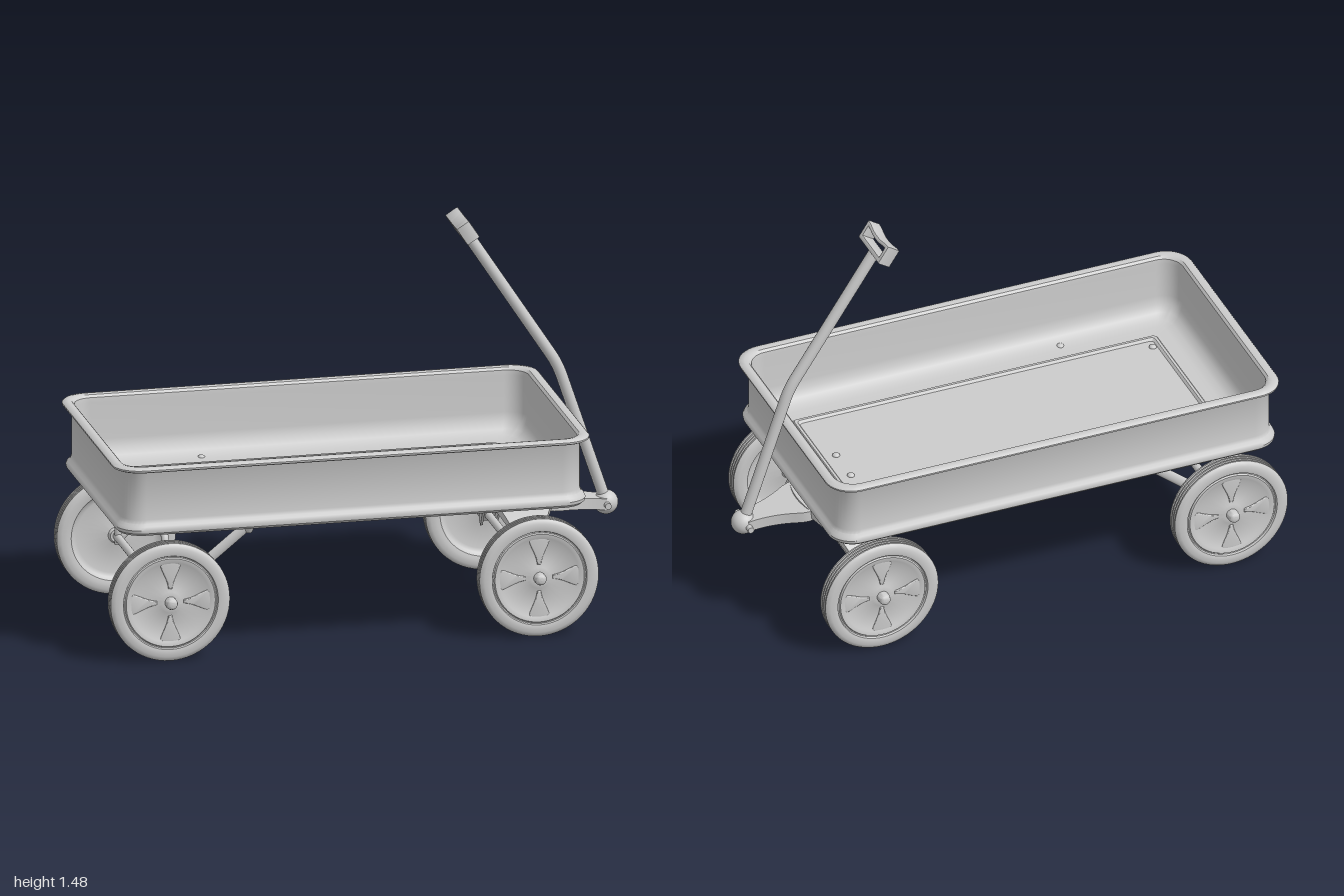
import * as THREE from 'three';
import { toCreasedNormals } from 'three/addons/utils/BufferGeometryUtils.js';

const V = (x, y, z) => new THREE.Vector3(x, y, z);
const grey = new THREE.MeshStandardMaterial({ color: 0xcccccc });

function part(name, geometry, parent, x = 0, y = 0, z = 0) {
  const mesh = new THREE.Mesh(geometry, grey);
  mesh.name = name;
  mesh.position.set(x, y, z);
  parent.add(mesh);
  return mesh;
}

// Solid skin over equal rings of points, both ends closed by strips.
function loft(rings) {
  const n = rings[0].length, last = (rings.length - 1) * n, index = [];
  for (let i = 0; i < rings.length - 1; i++) {
    for (let j = 0; j < n; j++) {
      const a = i * n + j, b = i * n + (j + 1) % n;
      index.push(a, b, b + n, a, b + n, a + n);
    }
  }
  for (let j = 0; j < n / 2 - 1; j++) {
    const [a, b, c, d] = [j, j + 1, n - 2 - j, n - 1 - j];
    index.push(a, c, b, a, d, c);
    index.push(last + a, last + b, last + c, last + a, last + c, last + d);
  }
  const g = new THREE.BufferGeometry().setFromPoints(rings.flat());
  g.setIndex(index);
  return toCreasedNormals(g, 0.6);
}

function lathe(points, segments = 48) {
  return toCreasedNormals(new THREE.LatheGeometry(points.map(p => new THREE.Vector2(...p)), segments), 0.6);
}

// Round rod through points, with rounded bends.
function rod(points, radius, bend) {
  const path = new THREE.CurvePath();
  let from = points[0];
  for (let i = 1; i < points.length - 1; i++) {
    const p = points[i];
    const a = p.clone().add(points[i - 1].clone().sub(p).setLength(bend));
    const b = p.clone().add(points[i + 1].clone().sub(p).setLength(bend));
    path.add(new THREE.LineCurve3(from, a));
    path.add(new THREE.QuadraticBezierCurve3(a, p, b));
    from = b;
  }
  path.add(new THREE.LineCurve3(from, points[points.length - 1]));
  return new THREE.TubeGeometry(path, 90, radius, 16);
}

// Inverted channel section: half width w, depth h, sheet thickness t.
const channel = (w, h, t) => [[w, -h], [w, 0], [-w, 0], [-w, -h],
  [-w + t, -h], [-w + t, -t], [w - t, -t], [w - t, -h]];

// Rounded rectangle ring of the tray, inset by d from the rim edge.
function trayRing(d, y) {
  const hx = 0.888 - d, hz = 0.5 - d, r = Math.max(0.1 - d * 0.6, 0.015), ring = [];
  const corners = [[1, 1], [1, -1], [-1, -1], [-1, 1]];
  corners.forEach(([sx, sz], q) => {
    for (let k = 0; k <= 9; k++) {
      const a = (q + k / 9) * Math.PI / 2;
      ring.push(V(-0.09 + sx * (hx - r) + r * Math.sin(a), y, sz * (hz - r) + r * Math.cos(a)));
    }
  });
  return ring;
}

function buildTray(wagon) {
  const profile = [[0.19, 0.492], [0.18, 0.486], [0.04, 0.485], [0.025, 0.488], [0.015, 0.498],
    [0.013, 0.51], [0.018, 0.522], [0.028, 0.531], [0.032, 0.545], [0.032, 0.722], [0.028, 0.73],
    [0.008, 0.73], [0.001, 0.734], [0, 0.741], [0.006, 0.747], [0.02, 0.75], [0.034, 0.747],
    [0.042, 0.738], [0.044, 0.72], [0.044, 0.58], [0.05, 0.548], [0.066, 0.522], [0.09, 0.507],
    [0.12, 0.502], [0.17, 0.502], [0.175, 0.508], [0.185, 0.508], [0.192, 0.498]];
  part('tray', loft(profile.map(p => trayRing(...p))), wagon);
  for (const side of [-1, 1]) {
    for (const [x, z] of [[-0.77, 0.27], [-0.46, 0.4], [0.56, 0.07], [0.71, 0.07]]) {
      const bolt = new THREE.SphereGeometry(0.014, 16, 8, 0, Math.PI * 2, 0, Math.PI / 2);
      part('floorBolt', bolt.scale(1, 0.7, 1), wagon, x, z < 0.3 ? 0.498 : 0.502, z * side);
    }
  }
}

function buildWheel() {
  const wheel = new THREE.Group();
  wheel.name = 'wheel';
  // Dished disc, tyre wall and grooved tread, from inner to outer face
  const profile = [[0, -0.034], [0.024, -0.034], [0.03, -0.022], [0.06, -0.016], [0.145, -0.012],
    [0.16, -0.018], [0.17, -0.032], [0.185, -0.036], [0.205, -0.035], [0.217, -0.03], [0.222, -0.024]];
  for (const z of [-0.014, 0, 0.014]) {
    profile.push([0.222, z - 0.004], [0.215, z - 0.002], [0.215, z + 0.002], [0.222, z + 0.004]);
  }
  profile.push([0.222, 0.024], [0.217, 0.03], [0.205, 0.035], [0.185, 0.036], [0.177, 0.034],
    [0.174, 0.026], [0.17, 0.026], [0.166, 0.032], [0.15, 0.03], [0.14, 0.024], [0.055, 0.022],
    [0.04, 0.028], [0.025, 0.03], [0, 0.03]);
  part('tyreAndDisc', lathe(profile, 64).rotateX(Math.PI / 2), wheel);
  // Four pressed petals
  const petal = new THREE.Shape();
  petal.moveTo(-0.007, 0.05);
  petal.bezierCurveTo(-0.012, 0.09, -0.03, 0.11, -0.038, 0.14);
  petal.bezierCurveTo(-0.03, 0.158, 0.03, 0.158, 0.038, 0.14);
  petal.bezierCurveTo(0.03, 0.11, 0.012, 0.09, 0.007, 0.05);
  for (let i = 0; i < 4; i++) {
    const g = new THREE.ExtrudeGeometry(petal, { depth: 0.004, bevelSize: 0.004, bevelOffset: -0.004,
      bevelThickness: 0.004, bevelSegments: 3, curveSegments: 8 });
    part('petal', toCreasedNormals(g, 0.6), wheel, 0, 0, 0.02).rotation.z = i * Math.PI / 2;
  }
  // Hub nut
  part('hubNut', lathe([[0.022, 0.025], [0.022, 0.05], [0.018, 0.061], [0.01, 0.067], [0, 0.069]], 24)
    .rotateX(Math.PI / 2), wheel);
  return wheel;
}

function buildRearFrame(wagon) {
  const x = -0.775, z = 0.38;
  part('rearFrame', rod([V(x, 0.2, z), V(x, 0.47, z), V(x, 0.47, -z), V(x, 0.2, -z)], 0.014, 0.07), wagon);
  for (const side of [-1, 1]) {
    part('framePad', new THREE.BoxGeometry(0.05, 0.02, 0.08), wagon, x, 0.479, side * 0.27);
    // Diagonal strut up to the floor, with a flat foot
    const a = V(x, 0.225, side * z), b = V(-0.475, 0.478, side * 0.4);
    const strut = part('strut', new THREE.CylinderGeometry(0.02, 0.02, a.distanceTo(b), 16).scale(1, 1, 0.6), wagon);
    strut.position.copy(a).lerp(b, 0.5);
    strut.quaternion.setFromUnitVectors(V(0, 1, 0), b.clone().sub(a).normalize());
    part('strutFoot', new THREE.CylinderGeometry(0.03, 0.012, 0.035, 16), wagon, -0.47, 0.47, side * 0.4);
  }
}

function buildSteering(wagon) {
  // Arched front axle carrier, widest at the pivot
  const arch = [];
  for (let i = 0; i <= 40; i++) {
    const s = Math.sin((i / 20 - 1) * Math.PI / 2), z = 0.375 * s, k = Math.abs(s);
    const slope = -0.205 * 2.8 / 0.375 * k ** 1.8 * Math.sign(s), len = Math.hypot(1, slope);
    const y = 0.41 - 0.205 * k ** 2.8, taper = (1 - s * s) ** 2;
    arch.push(channel(0.032 + 0.085 * taper, 0.03, 0.009).map(([a, b]) =>
      V(0.6 + 0.03 * taper + a, y + b / len, z - b * slope / len)));
  }
  part('axleArch', loft(arch), wagon);
  // Tongue narrowing toward the handle joint
  const tongue = [];
  for (let i = 0; i <= 14; i++) {
    const x = 0.62 + 0.33 * i / 14, w = 0.042 + 0.06 * Math.min(1, (0.95 - x) / 0.2) ** 2;
    tongue.push(channel(w, 0.042, 0.01).map(([a, b]) => V(x, 0.407 - (x - 0.72) * 0.13 + b, -a)));
  }
  part('tongue', loft(tongue), wagon);
  // Turntable under the floor
  part('turntable', lathe([[0, 0.365], [0.02, 0.365], [0.025, 0.378], [0.055, 0.385], [0.06, 0.42],
    [0.06, 0.435], [0.055, 0.45], [0.072, 0.466], [0.075, 0.478], [0, 0.478]]), wagon, 0.635);
  part('turntablePlate', new THREE.BoxGeometry(0.17, 0.014, 0.17), wagon, 0.635, 0.481, 0);
  part('jointBall', new THREE.SphereGeometry(0.045, 32, 20), wagon, 0.955, 0.355, 0);
  part('jointPin', new THREE.CylinderGeometry(0.012, 0.012, 0.13, 16).rotateX(Math.PI / 2), wagon, 0.95, 0.355, 0);
}

function buildHandle(wagon) {
  part('handleBar', rod([V(0.955, 0.355, 0), V(0.775, 0.89, 0), V(0.435, 1.41, 0)], 0.0215, 0.05), wagon);
  // Looped grip with waisted sides
  const shape = new THREE.Shape();
  shape.moveTo(-0.094, -0.036);
  shape.lineTo(0.094, -0.036);
  shape.lineTo(0.094, 0.038);
  shape.bezierCurveTo(0.055, 0.038, 0.05, 0.028, 0, 0.028);
  shape.bezierCurveTo(-0.05, 0.028, -0.055, 0.038, -0.094, 0.038);
  const hole = new THREE.Path();
  hole.moveTo(-0.076, -0.018);
  hole.lineTo(-0.076, 0.022);
  hole.bezierCurveTo(-0.045, 0.02, -0.04, 0.013, 0, 0.013);
  hole.bezierCurveTo(0.04, 0.013, 0.045, 0.02, 0.076, 0.022);
  hole.lineTo(0.076, -0.018);
  shape.holes.push(hole);
  const g = new THREE.ExtrudeGeometry(shape, { depth: 0.046, bevelSize: 0.004, bevelOffset: -0.004,
    bevelThickness: 0.004, bevelSegments: 2, curveSegments: 10 });
  g.translate(0, 0, -0.023).rotateY(Math.PI / 2);
  part('grip', toCreasedNormals(g, 0.6), wagon, 0.421, 1.435, 0).rotation.z = Math.atan2(0.34, 0.52);
}

export function createModel() {
  const wagon = new THREE.Group();
  wagon.name = 'wagon';
  buildTray(wagon);
  buildRearFrame(wagon);
  buildSteering(wagon);
  buildHandle(wagon);
  // Axles and wheels
  for (const x of [-0.775, 0.6]) {
    part('axle', new THREE.CylinderGeometry(0.015, 0.015, 0.94, 20).rotateX(Math.PI / 2), wagon, x, 0.225, 0);
    for (const side of [-1, 1]) {
      const wheel = buildWheel();
      wheel.position.set(x, 0.225, side * 0.434);
      if (side < 0) wheel.rotation.y = Math.PI;
      wagon.add(wheel);
    }
  }
  return wagon;
}
